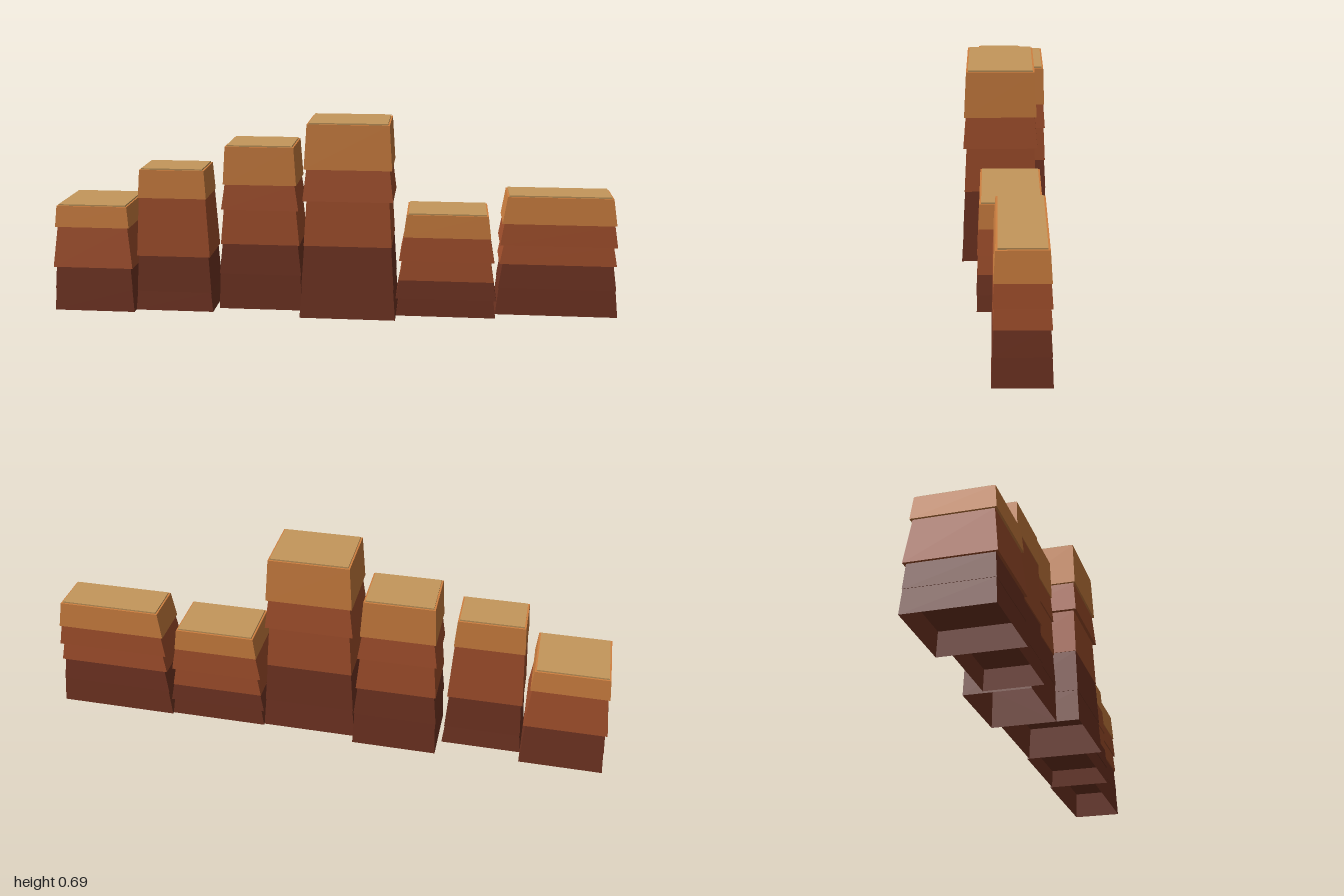
import * as THREE from 'three';

const flat = (name, color) => {
  const m = new THREE.MeshStandardMaterial({ color, side: THREE.DoubleSide });
  m.name = name;
  return m;
};
const dark = flat('dark brown rock', 0x733523);
const rust = flat('rust rock', 0xa5512d);
const orange = flat('orange rock', 0xcf8040);
const sand = flat('sand top', 0xc4975b);

// Each column: footprint, how strongly z narrows compared with x, and its
// strata from the ground up as [top height, bottom scale, top scale, material].
const columns = [
  { x: [-1, -0.71], z: [-0.135, 0.145], k: 1, strata: [
    [0.08, 1, 0.96, dark], [0.16, 0.97, 0.93, dark], [0.305, 0.99, 0.87, rust], [0.38, 0.92, 0.87, orange]] },
  { x: [-0.71, -0.43], z: [-0.083, 0.117], k: 1, strata: [
    [0.07, 1, 0.95, dark], [0.2, 0.96, 0.9, dark], [0.41, 0.94, 0.85, rust], [0.51, 0.87, 0.82, orange]] },
  { x: [-0.415, -0.115], z: [-0.155, 0.072], k: 0.65, strata: [
    [0.13, 1, 0.96, dark], [0.24, 0.98, 0.9, dark], [0.365, 0.94, 0.86, rust],
    [0.455, 0.92, 0.83, rust], [0.59, 0.87, 0.81, orange]] },
  { x: [-0.115, 0.222], z: [-0.12, 0.15], k: 1, strata: [
    [0.11, 1, 0.95, dark], [0.26, 0.96, 0.9, dark], [0.42, 0.91, 0.85, rust],
    [0.53, 0.93, 0.85, rust], [0.685, 0.9, 0.84, orange]] },
  { x: [0.222, 0.572], z: [-0.127, 0.093], k: 0.5, strata: [
    [0.063, 1, 0.95, dark], [0.13, 1.01, 0.94, dark], [0.2, 0.95, 0.88, rust],
    [0.285, 0.95, 0.86, rust], [0.365, 0.87, 0.81, orange]] },
  { x: [0.572, 1], z: [-0.135, 0.045], k: 1, strata: [
    [0.097, 1, 0.95, dark], [0.185, 0.96, 0.9, dark], [0.253, 0.95, 0.89, rust],
    [0.33, 0.95, 0.89, rust], [0.425, 0.92, 0.85, orange]] },
];

// Box whose footprint shrinks from the bottom scale to the top scale
function taperedBlock(w, d, y0, y1, sb, st, k, openBottom) {
  const geo = new THREE.BoxGeometry(w, y1 - y0, d);
  const p = geo.attributes.position;
  for (let i = 0; i < p.count; i++) {
    const s = p.getY(i) > 0 ? st : sb;
    p.setX(i, p.getX(i) * s);
    p.setZ(i, p.getZ(i) * (1 - (1 - s) * k));
  }
  if (openBottom) {
    // leave out the underside
    const index = Array.from(geo.index.array);
    index.splice(18, 6);
    geo.setIndex(index);
    geo.clearGroups();
  }
  geo.translate(0, (y0 + y1) / 2, 0);
  geo.computeVertexNormals();
  return geo;
}

export function createModel() {
  const model = new THREE.Group();
  model.name = 'mesaRidge';

  for (const { x, z, k, strata } of columns) {
    const column = new THREE.Group();
    column.name = 'rockColumn';
    column.position.set((x[0] + x[1]) / 2, 0, (z[0] + z[1]) / 2);
    const w = x[1] - x[0], d = z[1] - z[0];
    const add = (name, geo, mat) => {
      const mesh = new THREE.Mesh(geo, mat);
      mesh.name = name;
      column.add(mesh);
    };

    // Stacked strata, the lowest one hollow underneath
    let y = 0;
    strata.forEach(([top, sb, st, mat], i) => {
      add('stratum', taperedBlock(w, d, y, top, sb, st, k, i === 0), mat);
      y = top;
    });

    // Thin sandy plate on the summit
    const s = strata[strata.length - 1][2];
    const sz = 1 - (1 - s) * k;
    const cap = new THREE.BoxGeometry(w * s - 0.012, 0.005, d * sz - 0.012);
    cap.translate(0, y + 0.0025, 0);
    add('summitPlate', cap, sand);
    model.add(column);
  }
  return model;
}
